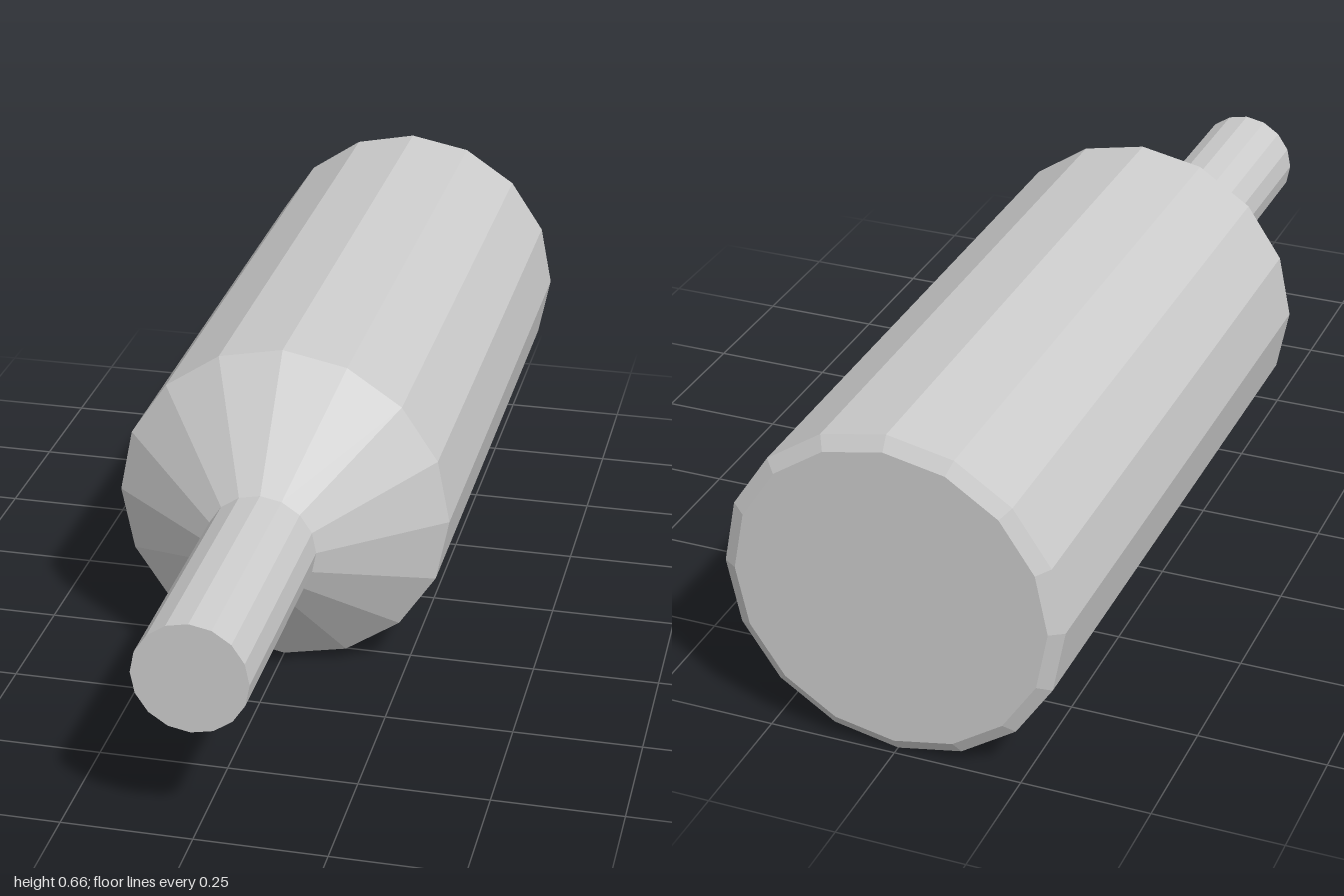
import * as THREE from 'three';

const SIDES = 16;
const AXIS_Y = 0.332;

export function createModel() {
  const group = new THREE.Group();
  group.name = 'steppedPin';
  const grey = new THREE.MeshStandardMaterial({ color: 0xcccccc, flatShading: true });
  grey.name = 'grey';

  // Faceted section running along z from zBack to zFront
  function section(name, rBack, rFront, zBack, zFront) {
    const g = new THREE.CylinderGeometry(rFront, rBack, zFront - zBack, SIDES, 1, true)
      .rotateX(Math.PI / 2).toNonIndexed();
    g.computeVertexNormals();
    const mesh = new THREE.Mesh(g, grey);
    mesh.name = name;
    mesh.position.set(0, AXIS_Y, (zBack + zFront) / 2);
    group.add(mesh);
  }

  // Flat end disc facing +z or -z
  function cap(name, r, z, facing) {
    const g = new THREE.CircleGeometry(r, SIDES);
    if (facing < 0) g.rotateY(Math.PI);
    const mesh = new THREE.Mesh(g, grey);
    mesh.name = name;
    mesh.position.set(0, AXIS_Y, z);
    group.add(mesh);
  }

  cap('backCap', 0.305, -1, -1);
  section('backBevel', 0.305, 0.332, -1, -0.983);
  section('body', 0.332, 0.332, -0.983, 0.297);
  section('taper', 0.332, 0.109, 0.297, 0.483);
  section('shaft', 0.109, 0.109, 0.483, 1);
  cap('shaftCap', 0.109, 1, 1);

  return group;
}
